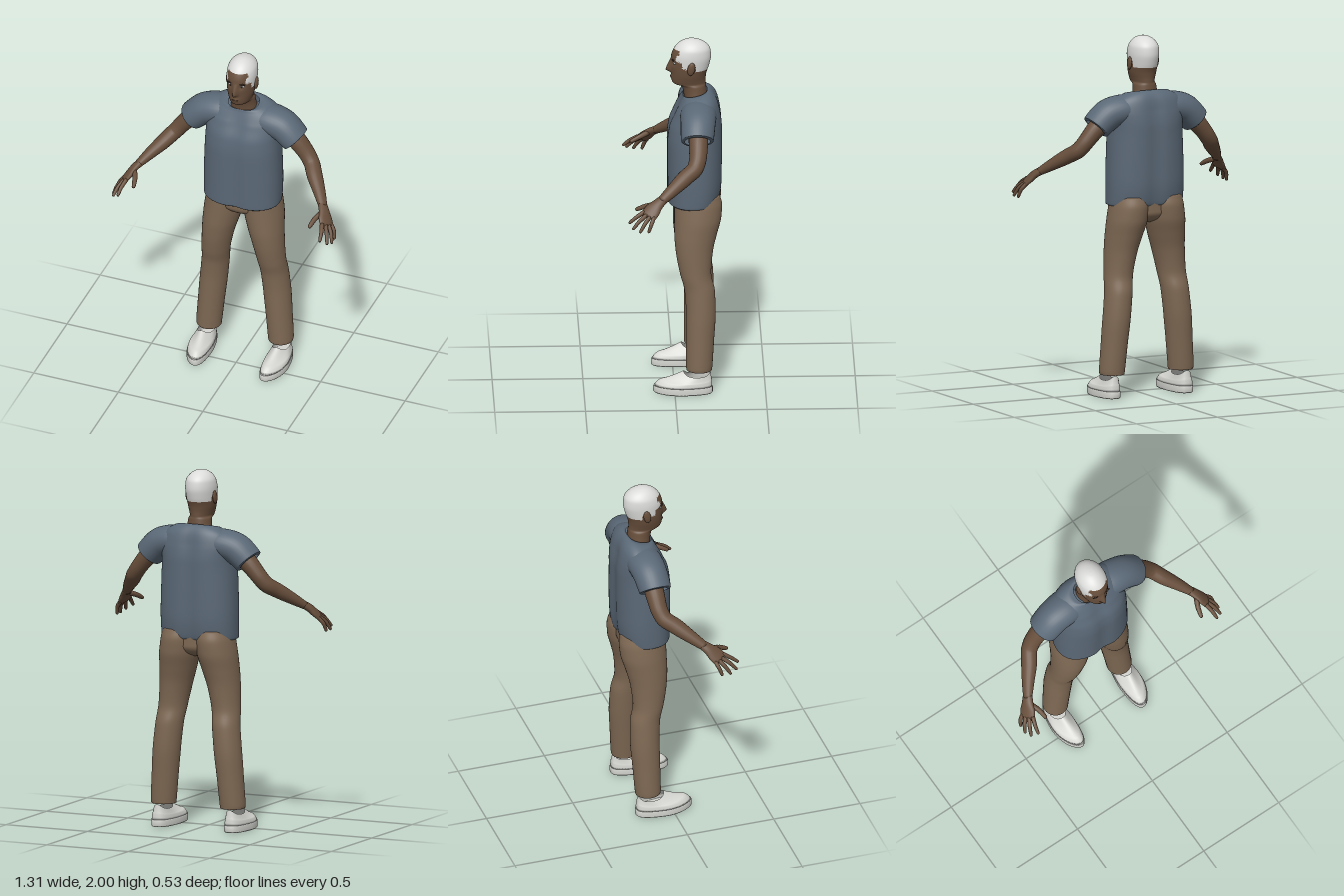
import * as THREE from 'three';

const V = (x, y, z) => new THREE.Vector3(x, y, z);
const gauss = (v, w) => Math.exp(-((v / w) ** 2));
const clamp01 = v => Math.max(0, Math.min(1, v));
const signedPow = (v, p) => Math.sign(v) * Math.abs(v) ** p;
const ring = (n, point) => Array.from({ length: n }, (_, j) => {
  const a = (j / n) * Math.PI * 2;
  return point(Math.cos(a), Math.sin(a));
});
const mat = (name, color, side = THREE.FrontSide) =>
  Object.assign(new THREE.MeshStandardMaterial({ color, side }), { name });

// Monotone smooth resampling of equally long rows of numbers
function resample(rows, steps) {
  const out = [], last = rows.length - 1;
  const slope = (i, k) => {
    const a = rows[i][k] - rows[Math.max(0, i - 1)][k], b = rows[Math.min(last, i + 1)][k] - rows[i][k];
    if (i === 0 || i === last) return a + b;
    return a * b > 0 ? (2 * a * b) / (a + b) : 0;
  };
  for (let i = 0; i < last; i++)
    for (let s = 0; s < steps; s++) {
      const t = s / steps, t2 = t * t, t3 = t2 * t;
      out.push(rows[i].map((p, k) => (2 * t3 - 3 * t2 + 1) * p + (t3 - 2 * t2 + t) * slope(i, k)
        + (3 * t2 - 2 * t3) * rows[i + 1][k] + (t3 - t2) * slope(i + 1, k)));
    }
  return [...out, rows[last]];
}

// Skin a list of closed rings, with optional end caps
function skin(rings, capStart = true, capEnd = true) {
  const n = rings[0].length, pts = rings.flat(), idx = [];
  for (let i = 0; i < rings.length - 1; i++)
    for (let j = 0; j < n; j++) {
      const a = i * n + j, b = i * n + ((j + 1) % n);
      idx.push(a, a + n, b, b, a + n, b + n);
    }
  const cap = (i, flip) => {
    const k = pts.push(rings[i].reduce((s, p) => s.add(p), V(0, 0, 0)).divideScalar(n)) - 1;
    for (let j = 0; j < n; j++) {
      const a = i * n + j, b = i * n + ((j + 1) % n);
      idx.push(k, flip ? b : a, flip ? a : b);
    }
  };
  if (capStart) cap(0, false);
  if (capEnd) cap(rings.length - 1, true);
  const g = new THREE.BufferGeometry().setFromPoints(pts);
  g.setIndex(idx);
  g.computeVertexNormals();
  return g;
}

// Horizontal rings from rows [y, centreX, radiusX, zFront, zBack], e is the roundness
function stack(rows, { steps = 6, seg = 40, e = 2, capStart = true, capEnd = true, shape = () => {} } = {}) {
  return skin(resample(rows, steps).map(([y, cx, rx, zf, zb]) => ring(seg, (c, s) => {
    const p = V(cx + rx * signedPow(c, 2 / e), y, (zf + zb) / 2 + ((zf - zb) / 2) * signedPow(s, 2 / e));
    shape(p, s);
    return p;
  })), capStart, capEnd);
}

// Rings across a path, rows [x, y, z, radius along ref, radius across]
function limb(rows, ref, { steps = 6, seg = 20, caps = true } = {}) {
  const r = resample(rows, steps), at = i => V(...r[Math.max(0, Math.min(r.length - 1, i))]);
  return skin(r.map((row, i) => {
    const t = at(i + 1).sub(at(i - 1)).normalize();
    const u = ref.clone().addScaledVector(t, -ref.dot(t)).normalize(), v = u.clone().cross(t);
    return ring(seg, (c, s) => at(i).addScaledVector(u, row[3] * c).addScaledVector(v, row[4] * s));
  }), caps, caps);
}

function mirrored(geo) {
  const g = geo.clone().scale(-1, 1, 1), ix = g.index.array;
  for (let i = 0; i < ix.length; i += 3) [ix[i], ix[i + 1]] = [ix[i + 1], ix[i]];
  g.computeVertexNormals();
  return g;
}

const ball = (x, y, z, rx, ry, rz, tilt = 0) =>
  new THREE.SphereGeometry(1, 20, 14).scale(rx, ry, rz).rotateX(tilt).translate(x, y, z);

// Head and neck, with the nose, eye sockets and lips pushed out of the surface
function headGeometry() {
  const g = stack([
    [1.64, 0, 0.08, -0.06, -0.19], [1.70, 0, 0.068, -0.052, -0.182], [1.732, 0, 0.064, -0.04, -0.178],
    [1.745, 0, 0.06, 0.004, -0.176], [1.765, 0, 0.065, 0.012, -0.176], [1.80, 0, 0.074, 0.013, -0.18],
    [1.85, 0, 0.08, 0.016, -0.196], [1.90, 0, 0.083, 0.014, -0.206], [1.94, 0, 0.079, 0.001, -0.202],
    [1.97, 0, 0.063, -0.022, -0.182], [1.99, 0, 0.039, -0.052, -0.148], [1.998, 0, 0.018, -0.077, -0.118],
    [2.0, 0, 0.002, -0.095, -0.099]], {
    steps: 5, seg: 80, shape(p, s) {
      if (s < 0.2) return;
      const { x, y } = p, ridge = Math.max(0, 1 - (y > 1.82 ? (y - 1.82) / 0.07 : (1.82 - y) / 0.016));
      p.z += 0.032 * ridge * gauss(x, 0.014);
      p.z -= 0.01 * gauss(Math.abs(x) - 0.034, 0.015) * gauss(y - 1.87, 0.012);
      p.z += 0.006 * gauss(x, 0.022) * (gauss(y - 1.787, 0.006) + gauss(y - 1.775, 0.006));
    }
  });
  // Scalp and temples go to the hair group
  const P = g.attributes.position, skinFaces = [], hairFaces = [], ix = g.index.array;
  for (let i = 0; i < ix.length; i += 3) {
    const f = [ix[i], ix[i + 1], ix[i + 2]], mean = k => f.reduce((s, v) => s + P.getComponent(v, k), 0) / 3;
    const x = Math.abs(mean(0)), y = mean(1), z = mean(2);
    const line = z > -0.03 ? 1.945 : z > -0.045 ? 1.88 : z > -0.075 ? 1.845 : z > -0.12 ? 1.862 : 1.832;
    const temple = z > -0.035 && x > 0.052 && y > 1.885 && y < 1.92;
    (y > line || temple ? hairFaces : skinFaces).push(...f);
  }
  g.setIndex([...skinFaces, ...hairFaces]);
  g.addGroup(0, skinFaces.length, 0);
  g.addGroup(skinFaces.length, hairFaces.length, 1);
  return g;
}

// Shoe outline at the ground, and the upper that blends from it to an open collar
const soleRing = (grow, y) => ring(48, (c, s) => V(
  0.224 + 0.066 * grow * signedPow(c, s < 0 ? 0.65 : 1) * (1 + 0.12 * Math.min(0, s)) - 0.018 * Math.max(0, s) ** 2,
  y, -0.045 + 0.161 * grow * s));
function upperRing(t) {
  const rise = 0.35 * Math.sin(Math.min(1, t * 4) * Math.PI / 2) + 0.65 * t ** 1.6;
  const collar = ring(48, (c, s) => V(0.222 + 0.044 * c, 0.04 + (0.06 + 0.027 * s ** 4) * rise, -0.122 + 0.075 * s));
  return soleRing(1, 0).map((p, j) => p.lerp(collar[j], t).setY(collar[j].y));
}

export function createModel() {
  const model = new THREE.Group();
  model.name = 'standingMan';
  const skinMat = mat('skin', 0x674e3b), hair = mat('hair', 0xdcdcda), dark = mat('dark brown', 0x35271f);
  const cloth = mat('shirt blue', 0x5a6876, THREE.DoubleSide), trouser = mat('trouser brown', 0x7e6853, THREE.DoubleSide);
  const shoeMat = mat('shoe white', 0xd6d6d2, THREE.DoubleSide);
  const eyeWhite = mat('eye white', 0xc9cbcc), lip = mat('lip', 0x58402f);
  const add = (name, geo, m) => model.add(Object.assign(new THREE.Mesh(geo, m), { name }));
  const pair = (name, geo, m) => {
    add(name + 'Left', geo, m);
    add(name + 'Right', mirrored(geo), m);
  };
  // Head
  add('head', headGeometry(), [skinMat, hair]);
  add('mouth', ball(0, 1.781, 0.0155, 0.02, 0.0022, 0.004), lip);
  pair('ear', ball(0.083, 1.85, -0.095, 0.011, 0.038, 0.021, -0.2), skinMat);
  pair('eye', ball(0.034, 1.869, -0.006, 0.014, 0.006, 0.009), eyeWhite);
  pair('iris', ball(0.034, 1.869, 0.001, 0.005, 0.005, 0.003), dark);
  pair('eyebrow', ball(0.036, 1.888, 0.004, 0.019, 0.003, 0.006), dark);
  // Shirt body, with chest lobes, a spine groove and a tilted neckline
  add('shirtBody', stack([
    [1.062, 0, 0.205, 0.028, -0.238], [1.075, 0, 0.22, 0.038, -0.25], [1.2, 0, 0.222, 0.04, -0.268],
    [1.4, 0, 0.216, 0.042, -0.27], [1.5, 0, 0.212, 0.032, -0.27], [1.58, 0, 0.215, 0.0, -0.262],
    [1.64, 0, 0.198, -0.026, -0.244], [1.675, 0, 0.155, -0.042, -0.218], [1.692, 0, 0.112, -0.05, -0.195],
    [1.69, 0, 0.086, -0.052, -0.186]], {
    steps: 6, seg: 64, e: 2.35, capStart: false, capEnd: false, shape(p, s) {
      p.z -= s * 0.014 * clamp01((1.7 - p.y) / 0.1) * gauss(p.x, 0.045);
      p.y -= 0.22 * (p.z + 0.12) * clamp01((p.y - 1.6) / 0.08);
    }
  }), cloth);
  pair('sleeve', limb([
    [0.06, 1.605, -0.135, 0.09, 0.07], [0.15, 1.6, -0.132, 0.1, 0.083], [0.225, 1.58, -0.128, 0.096, 0.086],
    [0.285, 1.532, -0.123, 0.092, 0.082], [0.304, 1.512, -0.122, 0.088, 0.079], [0.307, 1.509, -0.122, 0.07, 0.06]],
    V(0, 0, 1), { seg: 32, caps: false }), cloth);
  // Trousers
  add('trouserSeat', stack([
    [0.965, 0, 0.04, -0.08, -0.16], [0.99, 0, 0.13, -0.03, -0.215], [1.03, 0, 0.2, -0.004, -0.238],
    [1.08, 0, 0.205, -0.002, -0.238], [1.14, 0, 0.195, -0.015, -0.23]]), trouser);
  pair('trouserLeg', stack([
    [0.14, 0.21, 0.062, -0.072, -0.198], [0.13, 0.211, 0.068, -0.066, -0.205], [0.145, 0.212, 0.071, -0.063, -0.207],
    [0.3, 0.2, 0.074, -0.063, -0.217], [0.45, 0.187, 0.077, -0.063, -0.226], [0.58, 0.174, 0.077, -0.055, -0.222],
    [0.68, 0.163, 0.08, -0.03, -0.202], [0.8, 0.147, 0.09, -0.008, -0.212], [0.9, 0.13, 0.102, 0, -0.235],
    [0.99, 0.115, 0.11, 0, -0.259], [1.06, 0.106, 0.108, 0, -0.264], [1.12, 0.1, 0.1, -0.012, -0.25]],
    { capStart: false }), trouser);
  // Shoes
  pair('shoeUpper', skin(Array.from({ length: 15 }, (_, i) => upperRing(i / 14)), true, false), shoeMat);
  pair('shoeSole', skin([soleRing(0.97, 0), soleRing(1.02, 0.006), soleRing(1.02, 0.034), soleRing(0.99, 0.042)]), shoeMat);
  // Arms and hands
  const across = V(-0.04, 0.025, 0.08).normalize();
  pair('arm', limb([
    [0.2, 1.59, -0.13, 0.055, 0.055], [0.3, 1.51, -0.128, 0.054, 0.052], [0.362, 1.44, -0.124, 0.049, 0.046],
    [0.402, 1.39, -0.108, 0.046, 0.044], [0.445, 1.348, -0.05, 0.045, 0.041], [0.5, 1.298, 0.02, 0.036, 0.032],
    [0.548, 1.252, 0.085, 0.026, 0.021]], across), skinMat);
  pair('palm', limb([
    [0.54, 1.26, 0.074, 0.027, 0.021], [0.562, 1.238, 0.105, 0.034, 0.02], [0.582, 1.208, 0.136, 0.046, 0.018],
    [0.598, 1.186, 0.156, 0.046, 0.014], [0.602, 1.18, 0.161, 0.036, 0.007]], across), skinMat);
  const fingers = {
    indexFinger: [[0.578, 1.204, 0.178], [0.592, 1.175, 0.225], [0.597, 1.145, 0.262]],
    middleFinger: [[0.592, 1.194, 0.162], [0.618, 1.16, 0.208], [0.632, 1.122, 0.242]],
    ringFinger: [[0.602, 1.187, 0.145], [0.632, 1.15, 0.178], [0.646, 1.108, 0.203]],
    littleFinger: [[0.608, 1.182, 0.126], [0.635, 1.146, 0.142], [0.643, 1.106, 0.156]],
    thumb: [[0.552, 1.236, 0.125], [0.53, 1.217, 0.175], [0.52, 1.195, 0.222]]
  };
  for (const [name, [a, b, c]] of Object.entries(fingers)) {
    const end = c.map((v, i) => v + (c[i] - b[i]) * 0.08), r = name === 'thumb' ? 0.015 : 0.012;
    pair(name, limb([[...a, r, r], [...b, r * 0.92, r * 0.92], [...c, r * 0.62, r * 0.62], [...end, 0.002, 0.002]],
      across, { steps: 4, seg: 12 }), skinMat);
  }
  return model;
}
